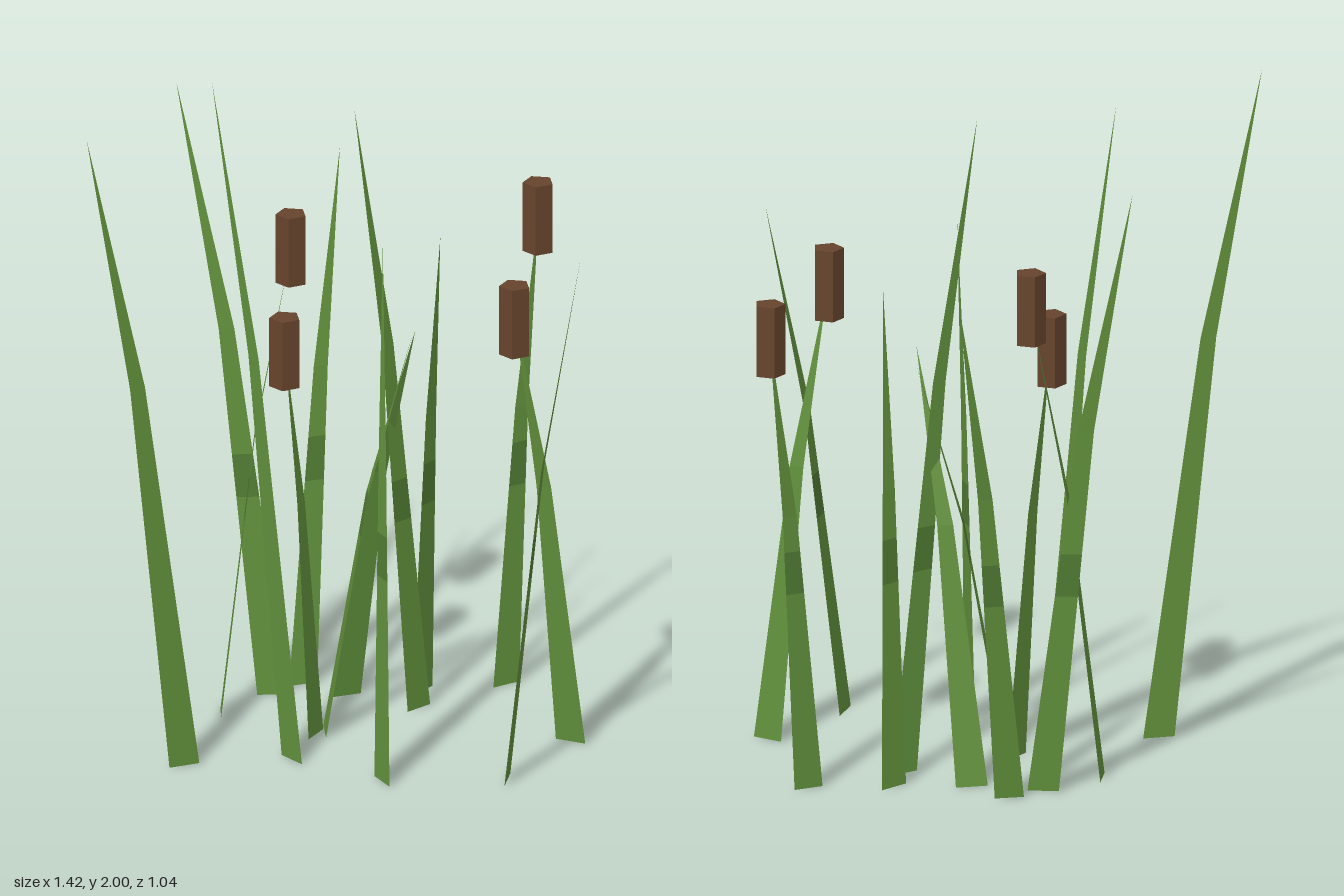
import * as THREE from 'three';

const leafGreen = new THREE.MeshStandardMaterial({ name: 'leafGreen', color: 0x61903c, side: THREE.DoubleSide, flatShading: true });
const shadeGreen = new THREE.MeshStandardMaterial({ name: 'shadeGreen', color: 0x517b33, side: THREE.DoubleSide, flatShading: true });
const seedBrown = new THREE.MeshStandardMaterial({ name: 'seedBrown', color: 0x67442d, flatShading: true });

const BEND = 0.6;   // height fraction of the single bend
const DRIFT = 0.48; // share of the lean reached at the bend

// Left and right edge points of a blade at height y
function row(a, b, tip, y) {
  const t = y / tip[1];
  const lean = t < BEND ? (t / BEND) * DRIFT : DRIFT + ((t - BEND) / (1 - BEND)) * (1 - DRIFT);
  const half = t < BEND ? 0.5 - 0.25 * (t / BEND) : 0.25 * (1 - t) / (1 - BEND);
  const cx = (a[0] + b[0]) / 2, cz = (a[1] + b[1]) / 2;
  const x = cx + (tip[0] - cx) * lean, z = cz + (tip[2] - cz) * lean;
  const dx = (b[0] - a[0]) * half, dz = (b[1] - a[1]) * half;
  return [x - dx, y, z - dz, x + dx, y, z + dz];
}

// Flat tapering blade from base edge a-b to a pointed tip, with an optional darker band
function makeBlade(name, a, b, tip, banded) {
  const cuts = [0, tip[1] * BEND, tip[1]];
  if (banded) cuts.push(0.6, 0.73);
  cuts.sort((p, q) => p - q);
  const positions = cuts.flatMap((y) => row(a, b, tip, y));
  const geo = new THREE.BufferGeometry();
  const index = [];
  for (let i = 0; i < cuts.length - 1; i++) {
    const k = i * 2;
    const start = index.length;
    index.push(k, k + 1, k + 2);
    if (i < cuts.length - 2) index.push(k + 1, k + 3, k + 2);
    const mid = (cuts[i] + cuts[i + 1]) / 2;
    geo.addGroup(start, index.length - start, banded && mid > 0.6 && mid < 0.73 ? 1 : 0);
  }
  geo.setAttribute('position', new THREE.Float32BufferAttribute(positions, 3));
  geo.setIndex(index);
  geo.computeVertexNormals();
  const mesh = new THREE.Mesh(geo, [leafGreen, shadeGreen]);
  mesh.name = name;
  return mesh;
}

// Base corners (x, z), tip (x, y, z), banded
const leaves = [
  [[-0.15, -0.24], [-0.07, -0.27], [-0.01, 1.56, -0.52], true],
  [[-0.24, -0.17], [-0.15, -0.18], [-0.475, 1.85, -0.29], true],
  [[0.485, 0.51], [0.50, 0.41], [0.70, 1.56, 0.315], true],
  [[0.11, 0.44], [0.155, 0.52], [0.13, 1.57, 0.25], true],
  [[0.205, -0.175], [0.262, -0.25], [0.288, 1.46, -0.083], true],
  [[-0.03, -0.155], [0.057, -0.19], [0.22, 1.24, 0.085], false],
  [[-0.045, 0.06], [-0.035, 0.152], [0.21, 1.2, 0.025], true],
  [[0.195, -0.05], [0.258, -0.112], [0.045, 1.93, 0.1], true],
  [[-0.16, 0.285], [-0.1, 0.355], [-0.365, 2.0, 0.07], false],
  [[-0.48, 0.39], [-0.395, 0.352], [-0.715, 1.99, 0.505], false],
];

// Base corners of the stem, head centre
const reeds = [
  [[-0.343, -0.07], [-0.34, 0.02], [-0.14, 1.425, -0.08], true],
  [[-0.085, 0.165], [-0.045, 0.085], [-0.152, 1.215, 0.193], false],
  [[0.625, 0.145], [0.71, 0.18], [0.51, 1.352, 0.273], false],
  [[0.437, -0.24], [0.51, -0.29], [0.563, 1.397, -0.407], true],
];

export function createModel() {
  const group = new THREE.Group();
  group.name = 'reedClump';

  leaves.forEach((l, i) => group.add(makeBlade(`leaf${i + 1}`, ...l)));

  // Stems topped by five-sided seed heads
  const headGeo = new THREE.CylinderGeometry(0.046, 0.046, 0.212, 5);
  reeds.forEach((r, i) => {
    const reed = new THREE.Group();
    reed.name = `reed${i + 1}`;
    reed.add(makeBlade('stem', ...r));
    const head = new THREE.Mesh(headGeo, seedBrown);
    head.name = 'seedHead';
    head.position.set(...r[2]);
    head.rotation.y = -0.15;
    reed.add(head);
    group.add(reed);
  });
  return group;
}
